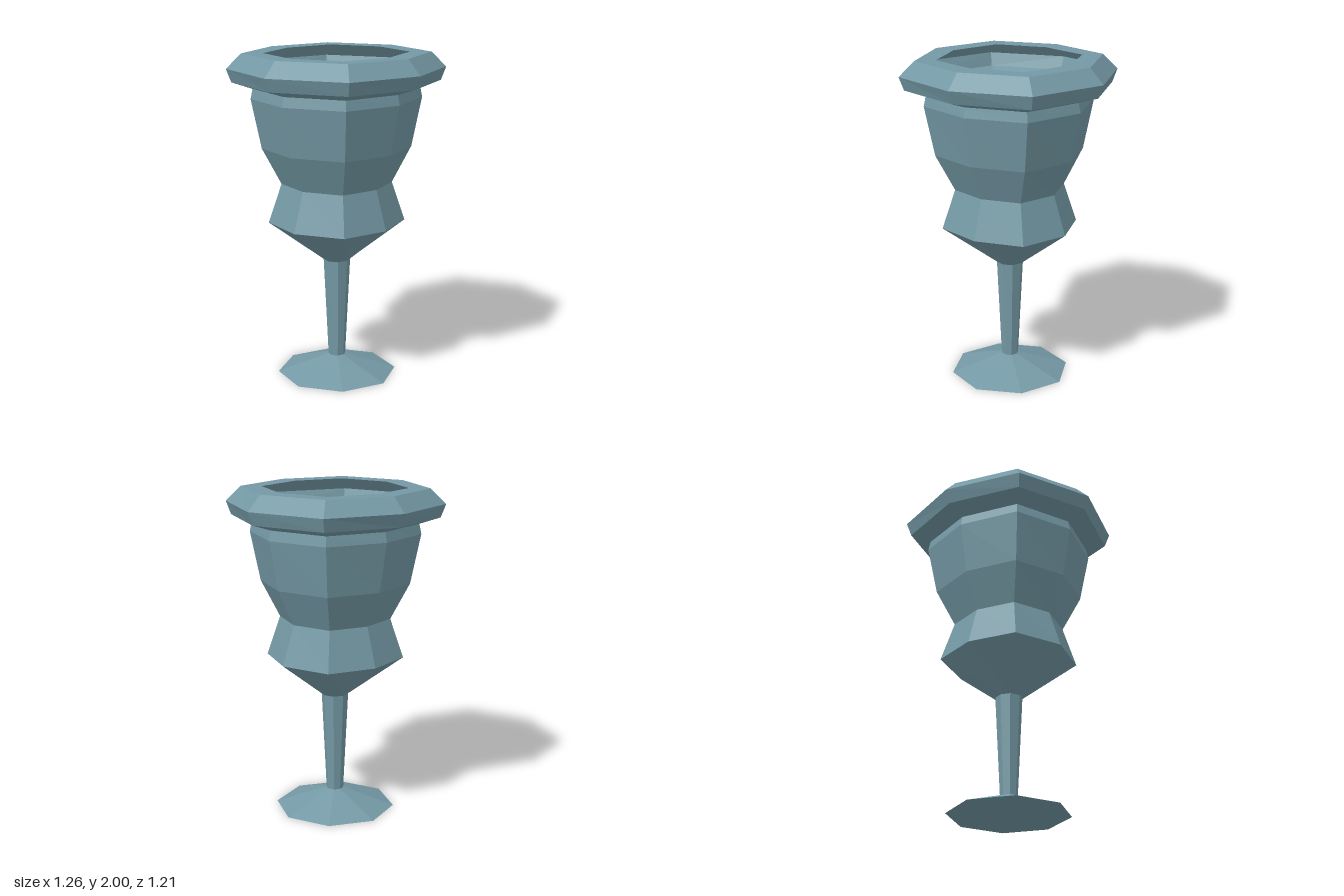
import * as THREE from 'three';

// Cross-sections: [y, half width x, half depth z, corner x, corner z]
const foot = [0, 0.37, 0.37, 0.26, 0.26];
const ankle = [0.11, 0.052, 0.052, 0.037, 0.037];
const stemTop = [0.73, 0.082, 0.08, 0.058, 0.058];
const belly = [0.97, 0.395, 0.377, 0.293, 0.297];
const waist = [1.21, 0.315, 0.303, 0.236, 0.24];
const chest = [1.43, 0.425, 0.407, 0.318, 0.322];
const shoulder = [1.73, 0.485, 0.465, 0.362, 0.365];
const neck = [1.79, 0.472, 0.452, 0.353, 0.356];
const rimUnder = [1.83, 0.597, 0.573, 0.44, 0.445];
const rimWide = [1.91, 0.63, 0.607, 0.461, 0.467];
const rimTop = [2, 0.542, 0.523, 0.395, 0.403];
const mouth = [2, 0.41, 0.393, 0.308, 0.31];

// Eight points of one cross-section
function ringPoints([y, x, z, cx, cz]) {
  return [[x, 0], [cx, cz], [0, z], [-cx, cz], [-x, 0], [-cx, -cz], [0, -z], [cx, -cz]]
    .map(([px, pz]) => [px, y, pz]);
}

// Thin faceted shell joining the cross-sections from bottom to top
function shell(name, rings, material, closedBottom = false) {
  const pos = [];
  const loops = rings.map(ringPoints);
  for (let r = 0; r < loops.length - 1; r++) {
    for (let k = 0; k < 8; k++) {
      const n = (k + 1) % 8;
      const a = loops[r][k], b = loops[r][n], c = loops[r + 1][n], d = loops[r + 1][k];
      pos.push(...a, ...d, ...c, ...a, ...c, ...b);
    }
  }
  if (closedBottom) {
    for (let k = 0; k < 8; k++) {
      pos.push(0, rings[0][0], 0, ...loops[0][k], ...loops[0][(k + 1) % 8]);
    }
  }
  const geometry = new THREE.BufferGeometry();
  geometry.setAttribute('position', new THREE.Float32BufferAttribute(pos, 3));
  geometry.computeVertexNormals();
  const mesh = new THREE.Mesh(geometry, material);
  mesh.name = name;
  return mesh;
}

export function createModel() {
  const metal = new THREE.MeshStandardMaterial({
    color: 0x7499a5, flatShading: true, side: THREE.DoubleSide,
  });
  metal.name = 'blueGrey';

  const goblet = new THREE.Group();
  goblet.name = 'goblet';
  goblet.add(
    shell('base', [foot, ankle], metal, true),
    shell('stem', [ankle, stemTop], metal),
    shell('bowl', [stemTop, belly, waist, chest, shoulder, neck], metal),
    shell('rim', [neck, rimUnder, rimWide, rimTop, mouth], metal),
  );
  return goblet;
}
